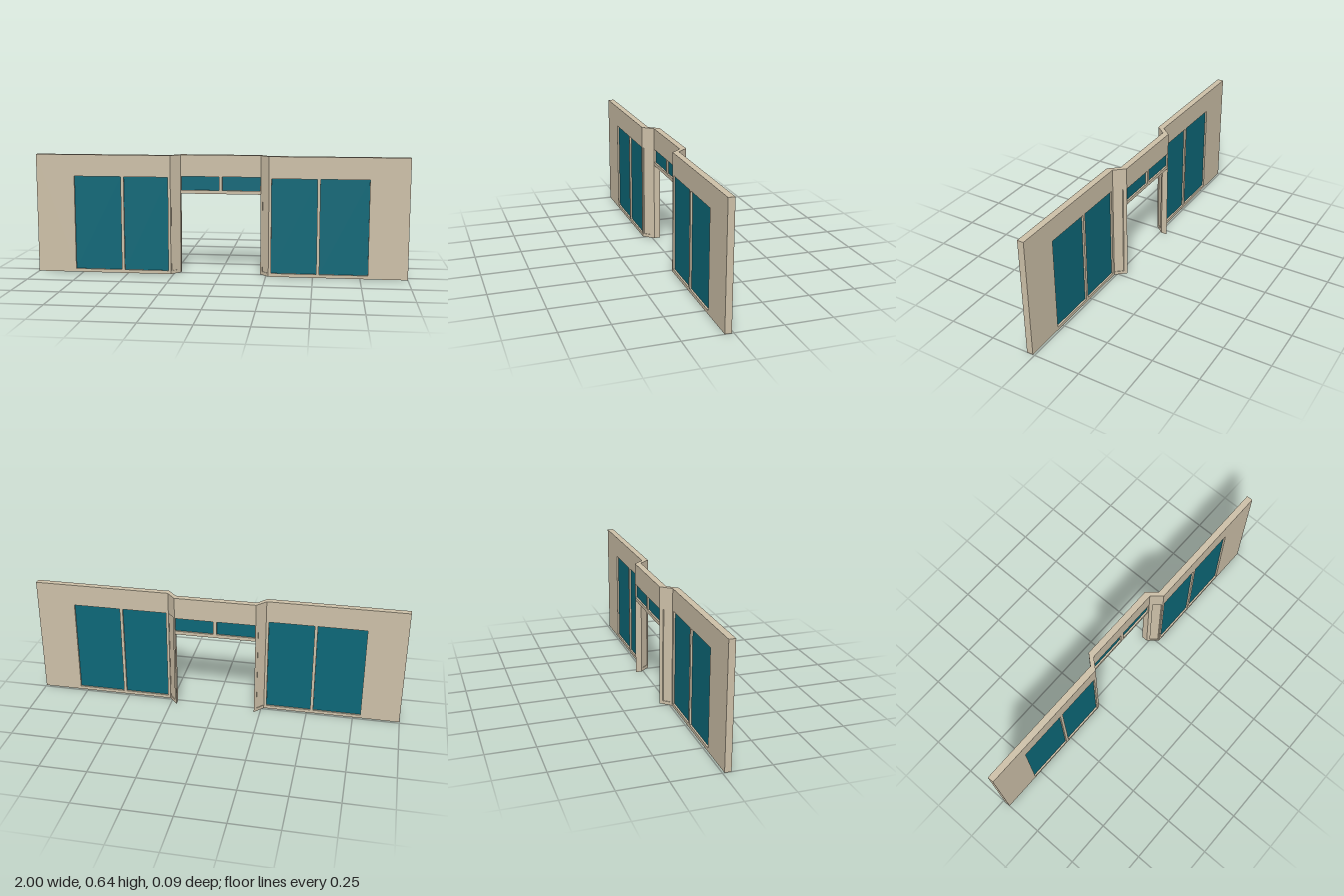
import * as THREE from 'three';

const HEIGHT = 0.645, THICK = 0.034;
const DOOR = 0.217, BEND = 0.264;   // half-widths where the wall folds back to the entrance
const Z_OUT = 0.01, Z_IN = -0.044;  // back face of the side walls and of the recessed entrance
const SILL = 0.018, LINTEL = 0.528;

const wallMat = new THREE.MeshStandardMaterial({ color: 0xcdc0a8 });
const glassMat = new THREE.MeshStandardMaterial({ color: 0x0c6878 });

// Back face of the wall in plan: straight, angled in, straight
function backZ(x) {
  const t = THREE.MathUtils.clamp((Math.abs(x) - DOOR) / (BEND - DOOR), 0, 1);
  return THREE.MathUtils.lerp(Z_IN, Z_OUT, t);
}

function rect(Type, [x0, x1, y0, y1]) {
  return new Type([[x0, y0], [x1, y0], [x1, y1], [x0, y1]].map(p => new THREE.Vector2(...p)));
}

// Slab that follows the folded plan; w0..w1 is its share of the wall thickness, back to front
function slab(name, area, holes, material, w0 = 0, w1 = 1) {
  const shape = rect(THREE.Shape, area);
  shape.holes = holes.map(h => rect(THREE.Path, h));
  const geo = new THREE.ExtrudeGeometry(shape, { depth: 1, bevelEnabled: false });
  const p = geo.attributes.position;
  for (let i = 0; i < p.count; i++) {
    const w = THREE.MathUtils.lerp(w0, w1, p.getZ(i));
    p.setZ(i, backZ(p.getX(i)) + THICK * w);
  }
  geo.computeVertexNormals();
  const mesh = new THREE.Mesh(geo, material);
  mesh.name = name;
  return mesh;
}

// Wall section with recessed panes filling its openings
function section(name, area, openings, paneName, paneMat, recess) {
  const g = new THREE.Group();
  g.name = name;
  g.add(slab(name + 'Wall', area, openings, wallMat));
  for (const o of openings) g.add(slab(paneName, o, [], paneMat, recess, 1 - recess));
  return g;
}

export function createModel() {
  const model = new THREE.Group();
  model.name = 'storefront';

  for (const [side, s] of [['left', 1], ['right', -1]]) {
    // Mirrors an x range, keeping it in ascending order
    const area = (a, b, y0, y1) => (s > 0 ? [a, b, y0, y1] : [-b, -a, y0, y1]);

    // Side wall with two tall windows
    model.add(section(side + 'Side', area(BEND, 1, 0, HEIGHT),
      [area(0.278, 0.519, SILL, LINTEL), area(0.535, 0.791, SILL, LINTEL)],
      'windowGlass', glassMat, 0.28));

    // Angled return with a shallow solid panel
    model.add(section(side + 'Return', area(DOOR, BEND, 0, HEIGHT),
      [area(0.229, 0.261, SILL, LINTEL)], 'returnPanel', wallMat, 0.15));
  }

  // Header over the entrance with two transom lights
  model.add(section('header', [-DOOR, DOOR, 0.435, HEIGHT],
    [[-0.214, -0.009, 0.454, LINTEL], [0.009, 0.214, 0.454, LINTEL]],
    'transomGlass', glassMat, 0.28));

  return model;
}
